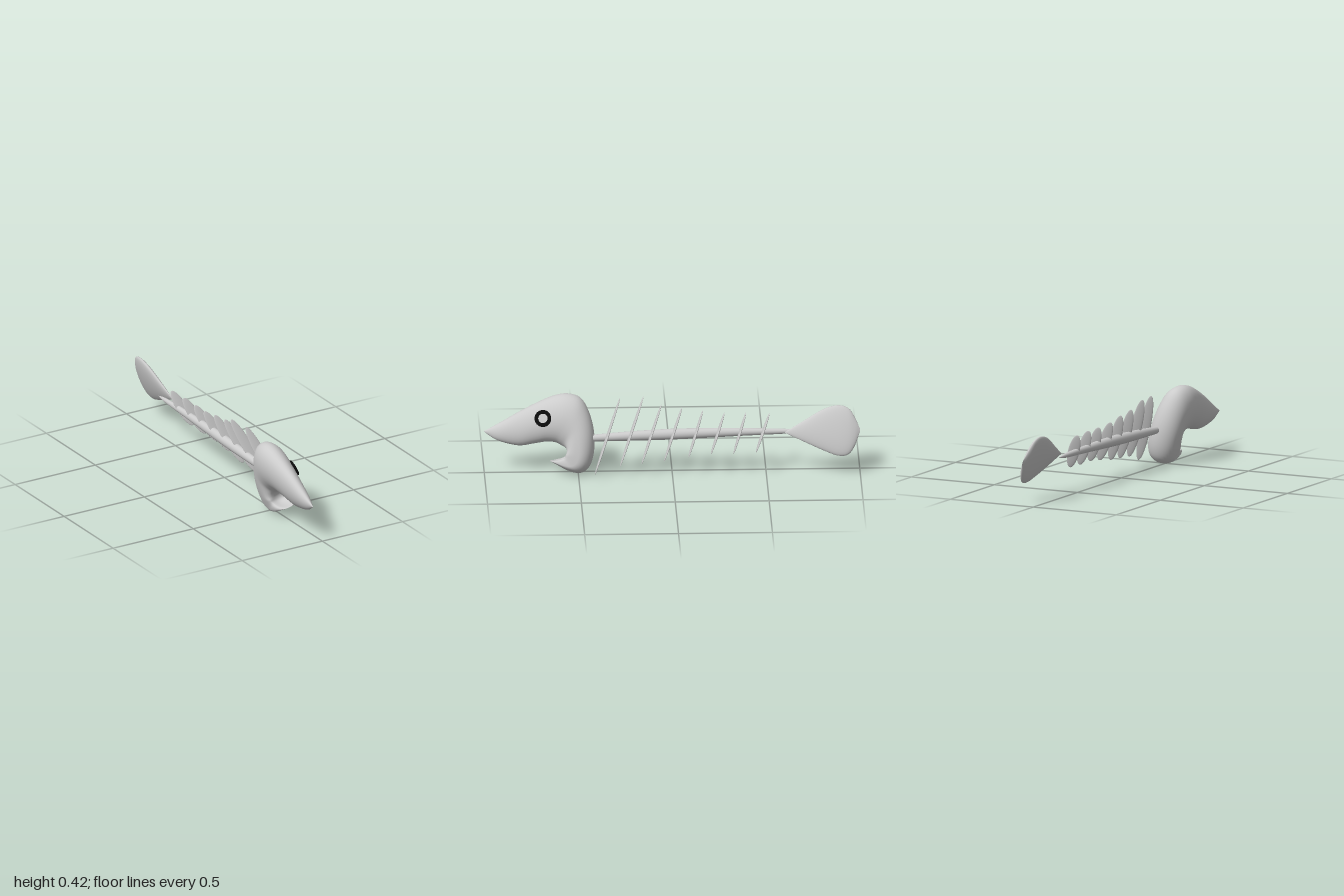
import * as THREE from 'three';

const grey = () => new THREE.MeshStandardMaterial({ color: 0xcccccc, side: THREE.DoubleSide });

function named(name, geometry, material = grey()) {
  const mesh = new THREE.Mesh(geometry, material);
  mesh.name = name;
  return mesh;
}

// Skins oval sections spanning an outer and an inner outline in a leaning plane.
// Each row: outer z, outer y, inner z, inner y, half thickness, dent of the inner side.
function loft(rows, planeX, normal, steps, sides) {
  const curve = (f) => new THREE.CatmullRomCurve3(rows.map(f), false, 'catmullrom', 0.5);
  const outer = curve((r) => new THREE.Vector3(r[0], r[1], r[4]));
  const inner = curve((r) => new THREE.Vector3(r[2], r[3], r[5] || 0));
  const positions = [];
  const index = [];
  for (let i = 0; i <= steps; i++) {
    const o = outer.getPoint(i / steps);
    const n = inner.getPoint(i / steps);
    const a = new THREE.Vector3(planeX(o.x, o.y), o.y, o.x);
    const b = new THREE.Vector3(planeX(n.x, n.y), n.y, n.x);
    const middle = a.clone().add(b).multiplyScalar(0.5);
    const half = a.clone().sub(b).multiplyScalar(0.5);
    for (let j = 0; j < sides; j++) {
      const t = (j / sides) * Math.PI * 2;
      let c = Math.cos(t);
      if (c < 0) c = THREE.MathUtils.lerp(c, -Math.sin(-2.4 * c), n.z);
      const p = middle.clone().addScaledVector(half, c)
        .addScaledVector(normal, Math.sin(t) * Math.max(o.z, 0));
      positions.push(p.x, p.y, p.z);
      if (i < steps) {
        const k = (j + 1) % sides;
        const q = i * sides;
        index.push(q + j, q + k, q + sides + j, q + k, q + sides + k, q + sides + j);
      }
    }
  }
  const g = new THREE.BufferGeometry();
  g.setAttribute('position', new THREE.Float32BufferAttribute(positions, 3));
  g.setIndex(index);
  g.computeVertexNormals();
  return g;
}

// Skull sweeping from the snout over the crown and round into the lower jaw
function makeHead() {
  const rows = [
    [1, 0.21, 1, 0.208, 0.001],
    [0.9, 0.265, 0.93, 0.165, 0.028],
    [0.8, 0.322, 0.82, 0.14, 0.048],
    [0.7, 0.372, 0.73, 0.152, 0.063],
    [0.62, 0.404, 0.67, 0.162, 0.074],
    [0.55, 0.413, 0.625, 0.16, 0.082],
    [0.485, 0.392, 0.6, 0.15, 0.085],
    [0.445, 0.33, 0.582, 0.14, 0.086],
    [0.42, 0.25, 0.572, 0.126, 0.087, 0.3],
    [0.412, 0.17, 0.567, 0.112, 0.086, 0.6],
    [0.42, 0.09, 0.566, 0.1, 0.083, 0.9],
    [0.445, 0.03, 0.568, 0.088, 0.078, 1],
    [0.49, 0.002, 0.576, 0.08, 0.072, 1],
    [0.55, 0.012, 0.592, 0.073, 0.066, 1],
    [0.61, 0.042, 0.62, 0.067, 0.052, 1],
    [0.645, 0.06, 0.645, 0.064, 0.025, 0.5],
    [0.65, 0.062, 0.65, 0.062, 0],
  ];
  const planeX = (z, y) => -0.01 - 0.08 * (z - 0.42) - 0.26 * (y - 0.2);
  return named('head', loft(rows, planeX, new THREE.Vector3(1, 0.26, 0.08).normalize(), 64, 36));
}

// Leaning lens-shaped tail fin
function makeTail() {
  const rows = [
    [-0.6, 0.222, -0.6, 0.218, 0.002],
    [-0.7, 0.28, -0.7, 0.175, 0.014],
    [-0.8, 0.337, -0.8, 0.133, 0.022],
    [-0.88, 0.36, -0.88, 0.106, 0.024],
    [-0.94, 0.345, -0.935, 0.112, 0.021],
    [-0.975, 0.295, -0.97, 0.155, 0.013],
    [-1, 0.24, -0.998, 0.225, 0],
  ];
  const planeX = (z, y) => 0.045 + 0.06 * (-0.6 - z) - 0.34 * (y - 0.22);
  return named('tailFin', loft(rows, planeX, new THREE.Vector3(1, 0.34, 0.06).normalize(), 36, 32));
}

// Backbone, tapering to a point under the tail
function makeSpine() {
  const profile = [[0, -0.69], [0.01, -0.64], [0.015, -0.56], [0.02, -0.4], [0.026, -0.2],
    [0.029, 0], [0.026, 0.2], [0.02, 0.38], [0.016, 0.43], [0, 0.44]];
  const smooth = new THREE.SplineCurve(profile.map(([r, z]) => new THREE.Vector2(r, z))).getPoints(40);
  smooth.forEach((p) => { p.x = Math.max(p.x, 0); });
  const g = new THREE.LatheGeometry(smooth, 20).rotateX(Math.PI / 2);
  const pos = g.attributes.position;
  for (let i = 0; i < pos.count; i++) {
    const z = pos.getZ(i);
    pos.setXYZ(i, pos.getX(i) * 0.92 + 0.01, pos.getY(i) + 0.206 - 0.03 * z - 0.025 * z * z, z);
  }
  g.computeVertexNormals();
  return named('spine', g);
}

// Flat slanting ribs: bottom and top ends
function makeRibs() {
  const ribs = [
    [0.12, 0.02, 0.415, -0.035, 0.4, 0.275],
    [0.105, 0.06, 0.28, -0.05, 0.4, 0.15],
    [0.1, 0.07, 0.165, -0.032, 0.36, 0.055],
    [0.092, 0.08, 0.045, -0.028, 0.345, -0.055],
    [0.09, 0.1, -0.085, -0.025, 0.325, -0.165],
    [0.083, 0.115, -0.205, -0.015, 0.315, -0.28],
    [0.082, 0.115, -0.325, -0.015, 0.315, -0.395],
    [0.077, 0.12, -0.445, -0.015, 0.31, -0.52],
  ];
  const group = new THREE.Group();
  group.name = 'ribs';
  ribs.forEach((r, i) => {
    const low = new THREE.Vector3(...r.slice(0, 3));
    const high = new THREE.Vector3(...r.slice(3));
    const axis = high.clone().sub(low);
    const length = axis.length();
    axis.normalize();
    const across = new THREE.Vector3(1, 0, 0).addScaledVector(axis, -axis.x).normalize();
    const flat = across.clone().cross(axis);
    const rib = named('rib' + (i + 1), new THREE.SphereGeometry(1, 24, 24).scale(0.032, length / 2, 0.006));
    rib.quaternion.setFromRotationMatrix(new THREE.Matrix4().makeBasis(across, axis, flat));
    rib.position.copy(low).add(high).multiplyScalar(0.5);
    group.add(rib);
  });
  return group;
}

// Single eye: black ring around a grey disc
function makeEye() {
  const eye = new THREE.Group();
  eye.name = 'eye';
  const shape = new THREE.Shape().absarc(0, 0, 0.043, 0, Math.PI * 2);
  shape.holes.push(new THREE.Path().absarc(0, 0, 0.027, 0, Math.PI * 2, true));
  const ring = new THREE.ExtrudeGeometry(shape, {
    depth: 0.02, bevelEnabled: true, bevelSize: 0.002, bevelThickness: 0.003, bevelSegments: 2, curveSegments: 24,
  }).translate(0, 0, -0.01);
  eye.add(named('eyeRing', ring, new THREE.MeshStandardMaterial({ color: 0x0a0a0a })));
  eye.add(named('eyeDisc', new THREE.CylinderGeometry(0.028, 0.028, 0.016, 32).rotateX(Math.PI / 2)));
  eye.position.set(0.006, 0.301, 0.687);
  eye.lookAt(new THREE.Vector3(1, 0.43, 0.13).add(eye.position));
  return eye;
}

export function createModel() {
  const model = new THREE.Group();
  model.name = 'fishSkeleton';
  model.add(makeHead(), makeEye(), makeSpine(), makeRibs(), makeTail());
  return model;
}
